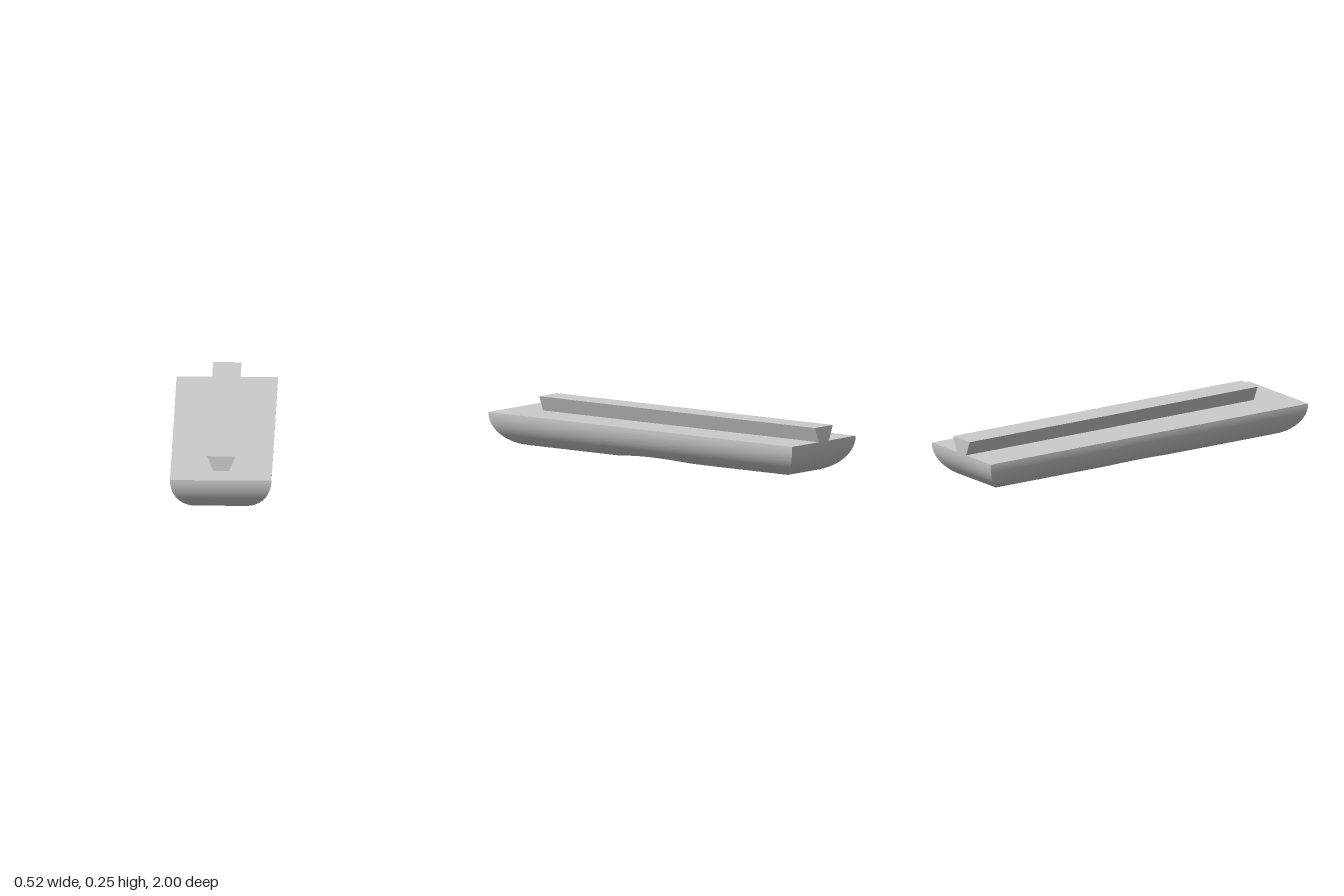
import * as THREE from 'three';
import { toCreasedNormals } from 'three/addons/utils/BufferGeometryUtils.js';

const HALF_W = 0.26, HALF_L = 1, R = 0.177; // plan half-sizes; R is both height and edge radius
const STEPS = 24;
const GROOVE_HALF = 0.29, GROOVE_RISE = 0.022;

// Stations along z as [z, floor height]: rounded ends, flat run, shallow arched hollow
function stations() {
  const end = [];
  for (let i = 0; i <= STEPS; i++) {
    const a = (i / STEPS) * Math.PI / 2;
    end.push([HALF_L - R + R * Math.sin(a), R - R * Math.cos(a)]);
  }
  const arch = [];
  for (let i = 0; i <= STEPS; i++) {
    const t = (i / STEPS) * 2 - 1;
    arch.push([t * GROOVE_HALF, GROOVE_RISE * (1 - t * t)]);
  }
  return [...end.map(([z, y]) => [-z, y]).reverse(), ...arch, ...end];
}

// Cross-section: round-sided trough cut off flat at the floor height
function section(floor) {
  const a0 = Math.acos(Math.min(1, Math.max(0, 1 - floor / R)));
  const right = [];
  for (let i = 0; i <= STEPS; i++) {
    const a = a0 + (Math.PI / 2 - a0) * (i / STEPS);
    right.push([HALF_W - R + R * Math.sin(a), R - R * Math.cos(a)]);
  }
  return [...right.map(([x, y]) => [-x, y]).reverse(), ...right];
}

function bodyGeometry() {
  const pos = [], index = [], rows = stations(), n = 2 * (STEPS + 1);
  rows.forEach(([z, floor], i) => {
    for (const [x, y] of section(floor)) pos.push(x, y, z);
    if (i === rows.length - 1) return;
    for (let j = 0; j < n; j++) {
      const k = (j + 1) % n;
      const a = i * n + j, b = i * n + k, c = b + n, d = a + n;
      index.push(a, b, c, a, c, d);
    }
  });
  const g = new THREE.BufferGeometry();
  g.setAttribute('position', new THREE.Float32BufferAttribute(pos, 3));
  g.setIndex(index);
  return toCreasedNormals(g, 0.12);
}

// Dovetail rail, flush with the back end and stopping short of the front
function railGeometry() {
  const top = 0.254, back = -HALF_L, front = 0.815;
  const shape = new THREE.Shape([
    new THREE.Vector2(-0.041, R), new THREE.Vector2(0.041, R),
    new THREE.Vector2(0.073, top), new THREE.Vector2(-0.073, top),
  ]);
  const g = new THREE.ExtrudeGeometry(shape, { depth: front - back, bevelEnabled: false });
  return g.translate(0, 0, back);
}

export function createModel() {
  const group = new THREE.Group();
  const material = new THREE.MeshStandardMaterial({ color: 0xcccccc });
  const add = (name, geometry) => {
    const mesh = new THREE.Mesh(geometry, material);
    mesh.name = name;
    group.add(mesh);
  };
  add('roundedBody', bodyGeometry());
  add('dovetailRail', railGeometry());
  return group;
}
